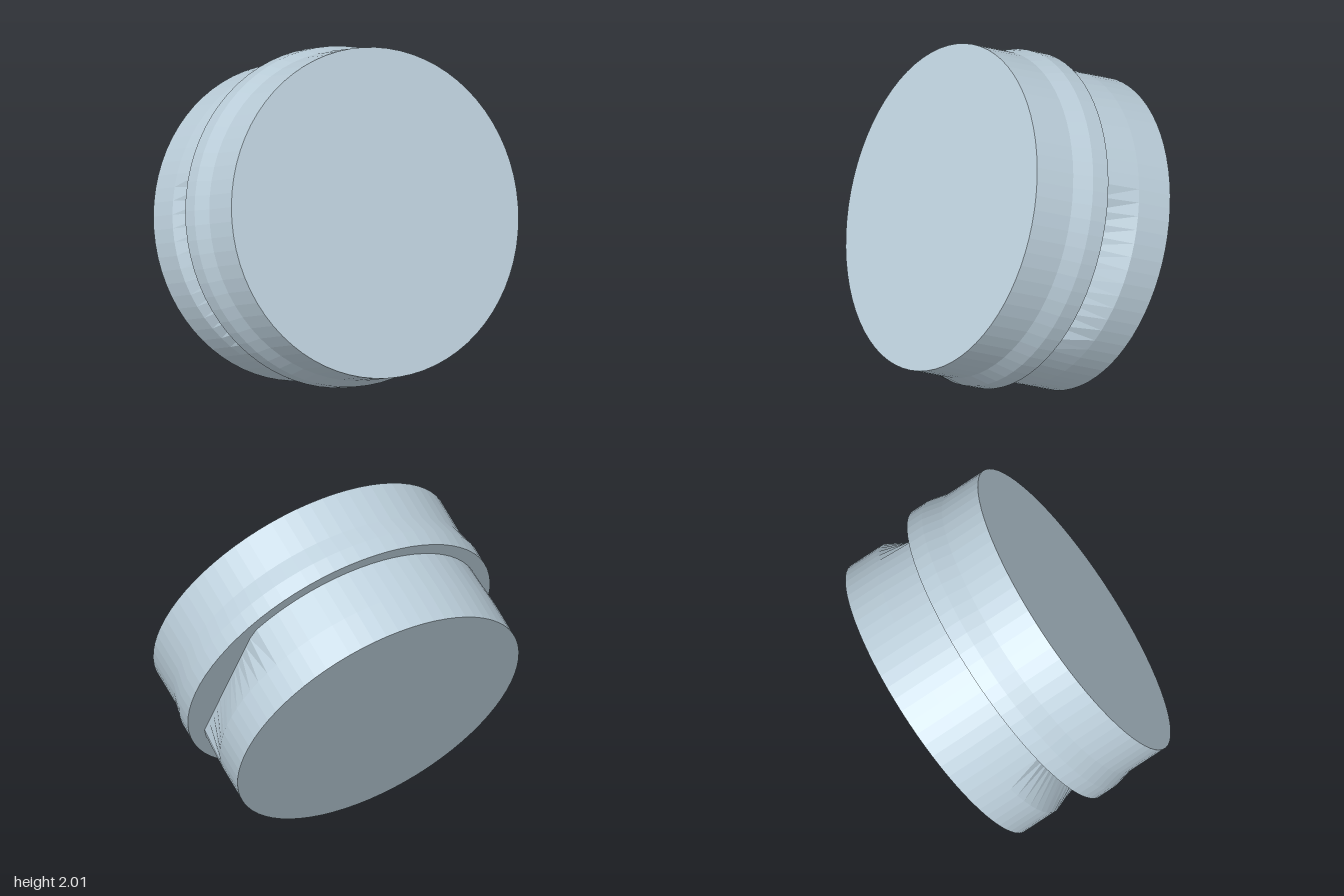
import * as THREE from 'three';

const SEGMENTS = 72;

// Surface of revolution from [radius, height] pairs, bottom to top
function turned(name, profile, material) {
  const points = profile.map(([r, h]) => new THREE.Vector2(r, h));
  const mesh = new THREE.Mesh(new THREE.LatheGeometry(points, SEGMENTS), material);
  mesh.name = name;
  return mesh;
}

export function createModel() {
  const paint = new THREE.MeshStandardMaterial({ color: 0xbdd0dc, flatShading: true, side: THREE.DoubleSide });
  paint.name = 'pale blue grey';

  const drum = new THREE.Group();
  drum.name = 'tiltedDrum';

  // Front drum with its flared collar
  drum.add(turned('frontDrum', [
    [0, 0.463], [0.94, 0.463], [0.94, 0.565], [0.913, 0.68], [0.913, 0.923], [0, 0.923],
  ], paint));

  // Rear drum, narrowing slightly towards the collar
  const rear = turned('rearDrum', [[0, 0], [0.875, 0], [0.875, 0.21], [0.862, 0.463]], paint);
  drum.add(rear);

  // Cut a flat into each side of the rear drum where it meets the collar
  const pos = rear.geometry.attributes.position;
  const flats = { right: [-26, 38], left: [-38, 29] };
  for (let i = 0; i < pos.count; i++) {
    if (pos.getY(i) < 0.4) continue;
    const x = pos.getX(i), z = pos.getZ(i);
    const [from, to] = (x > 0 ? flats.right : flats.left).map(THREE.MathUtils.degToRad);
    const angle = Math.atan2(-z, Math.abs(x));
    if (angle <= from || angle >= to) continue;
    const k = Math.cos((to - from) / 2) / Math.cos(angle - (from + to) / 2);
    pos.setXYZ(i, x * k, pos.getY(i), z * k);
  }
  rear.geometry.computeVertexNormals();

  // Lean the drum so its front face looks forwards and up
  drum.rotation.x = THREE.MathUtils.degToRad(66.1);
  drum.position.set(0, 0.8, -0.43);

  const model = new THREE.Group();
  model.name = 'model';
  model.add(drum);
  return model;
}
